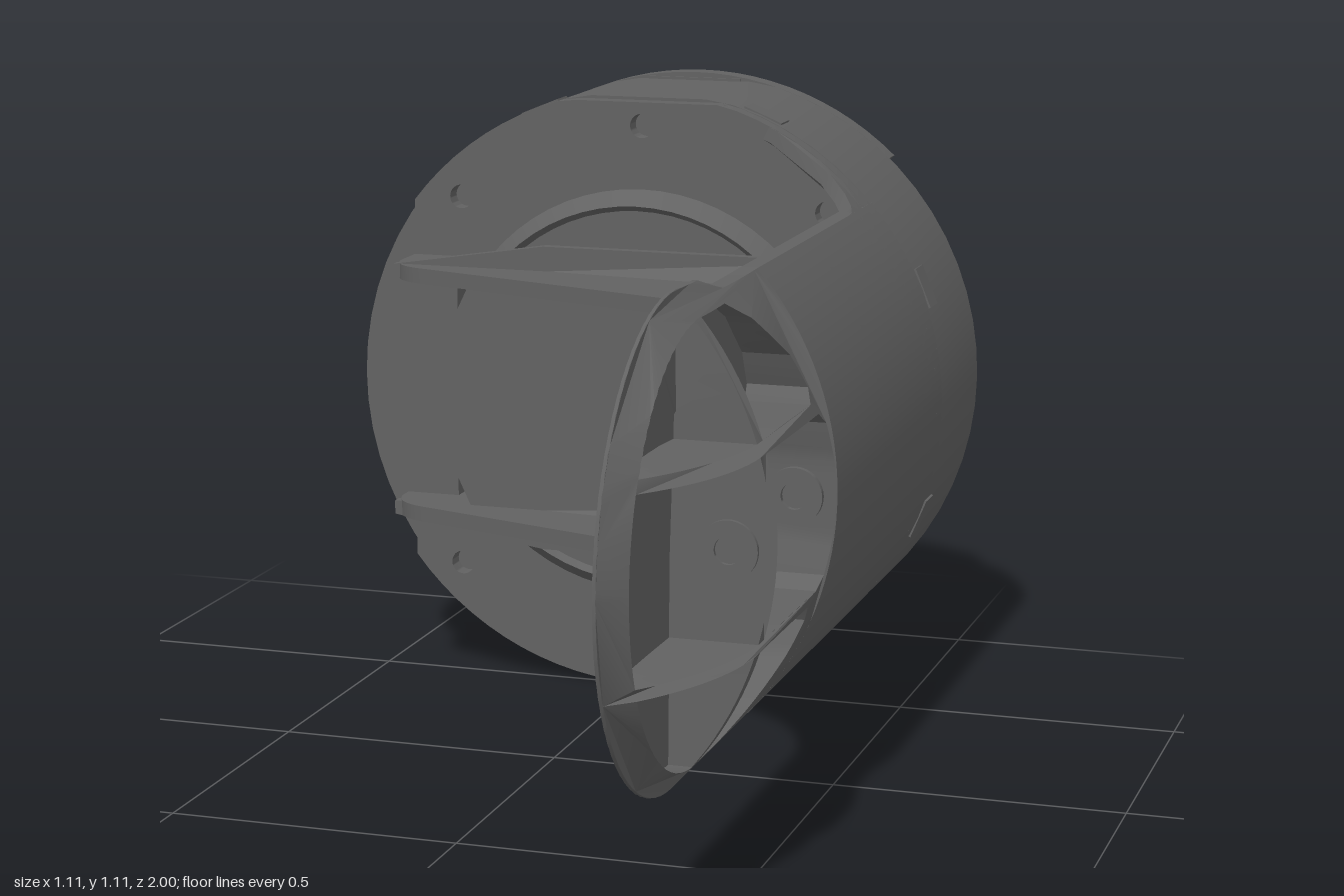
import * as THREE from 'three';
import { toCreasedNormals } from 'three/addons/utils/BufferGeometryUtils.js';

const R = 0.555, CY = 0.555; // drum radius and axis height
const mat = new THREE.MeshStandardMaterial({ color: 0x626262, side: THREE.DoubleSide });

// Split polygon edges, bowed a hair so that no corner is dropped as collinear
function dense(pts, step = 0.025) {
  const out = [];
  pts.forEach((p, i) => {
    const q = pts[(i + 1) % pts.length];
    const dx = q[0] - p[0], dy = q[1] - p[1], len = Math.hypot(dx, dy);
    const n = Math.max(1, Math.ceil(len / step));
    for (let k = 0; k < n; k++) {
      const t = k / n, bow = 0.0006 * Math.sin(Math.PI * t) / len;
      out.push(new THREE.Vector2(p[0] + dx * t + dy * bow, p[1] + dy * t - dx * bow));
    }
  });
  return out;
}
const poly = (pts) => new THREE.Shape(pts.map((p) => new THREE.Vector2(p[0], p[1])));
const arc = (cx, cy, r, a0, a1, n = 24) => Array.from({ length: n + 1 }, (_, i) => {
  const a = a0 + (a1 - a0) * i / n;
  return [cx + r * Math.cos(a), cy + r * Math.sin(a)];
});
const extrude = (shape, depth) =>
  new THREE.ExtrudeGeometry(shape, { depth, bevelEnabled: false, curveSegments: 32 });

function moveVertices(geo, rule) {
  const p = geo.attributes.position, v = new THREE.Vector3();
  for (let i = 0; i < p.count; i++) {
    v.fromBufferAttribute(p, i);
    rule(v);
    p.setXYZ(i, v.x, v.y, v.z);
  }
  geo.computeVertexNormals();
  return geo;
}

// Outer skin of the arm: a cylinder ending in a sphere
function skin(y, z) {
  const d = (y - CY) ** 2 + Math.max(0, z - 0.61) ** 2;
  return Math.max(0.393, Math.sqrt(Math.max(0, R * R - d)));
}

// Slab outlined in (z, y), from x0 out to the rule top(y, z)
function slab(pts, holes, x0, top) {
  const shape = new THREE.Shape(dense(pts.map(([z, y]) => [-z, y])));
  holes.forEach((h) => shape.holes.push(new THREE.Path(dense(h.map(([z, y]) => [-z, y])))));
  return moveVertices(extrude(shape, 1), (v) => {
    const z = -v.x;
    v.set(v.z < 0.5 ? x0 : top(v.y, z), v.y, z);
  });
}

export function createModel() {
  const group = new THREE.Group();
  const add = (name, geo, crease = 0.5) => {
    const mesh = new THREE.Mesh(toCreasedNormals(geo, crease), mat);
    mesh.name = name;
    group.add(mesh);
    return mesh;
  };
  // Turned part on the drum axis; profile points are [radius, -z]
  const turned = (pts) => new THREE.LatheGeometry(pts.map((p) => new THREE.Vector2(...p)), 64)
    .rotateX(-Math.PI / 2).translate(0, CY, 0);

  // Drum with flattened top and bottom
  add('drum', moveVertices(turned([[0, 0.54], [R, 0.54], [R, 0.85], [0.55, 0.857], [0, 0.857]]),
    (v) => { v.y = THREE.MathUtils.clamp(v.y, 0.03, 1.095); }));
  add('rearStep', turned([[0.36, 0.85], [0.355, 0.88], [0, 0.88]]));
  add('rearCap', turned([[0.325, 0.87], [0.325, 0.91], [0.335, 0.912], [0.335, 0.922],
    [0.325, 0.924], [0.325, 0.928], [0.335, 0.93], [0.33, 0.94], [0, 0.94]]));

  // Screw bosses on the back and clips around the drum rim
  for (let i = 0; i < 8; i++) {
    const a = Math.PI / 2 + i * Math.PI / 4;
    if (i) {
      const depth = i === 1 || i === 7 ? 0.9 : 0.867; // taller beside the crescent
      const boss = add('rearBoss', new THREE.BoxGeometry(0.15, 0.055, depth - 0.845));
      boss.position.set(0.462 * Math.cos(a), CY + 0.462 * Math.sin(a), -(depth + 0.845) / 2);
      boss.rotation.z = a;
      add('rearScrew', new THREE.CylinderGeometry(0.016, 0.016, 0.006, 16).rotateX(Math.PI / 2))
        .position.set(0.505 * Math.cos(a), CY + 0.505 * Math.sin(a), -depth);
    }
    const b = a + Math.PI / 8;
    const clip = add('rimClip', new THREE.BoxGeometry(0.012, 0.075, 0.055));
    clip.position.set(0.551 * Math.cos(b), CY + 0.551 * Math.sin(b), -0.58);
    clip.rotation.z = b;
  }

  // Top lug, kept inside the drum's circle, and the crescent shoulder around it
  const lug = extrude(poly([[0.84, 0.94], [0.9, 0.94], [1, 0.96], [1, 1.03], [0.89, 1.1], [0.84, 1.1]]), 0.18);
  add('topLug', moveVertices(lug, (v) => {
    const z = -v.x, x = (v.z - 0.09) * (z < -0.95 ? 0.72 : 1);
    v.set(x, v.y, z);
  }));
  const s0 = Math.PI / 2 - 0.75, s1 = Math.PI / 2 + 0.75;
  add('rearShoulder', extrude(poly([...arc(0, CY, R, s0, s1), ...arc(0, CY, 0.41, s1, s0)]), 0.045)
    .translate(0, 0, -0.89));

  // Front flange with screw holes, cut straight on one side, and its raised ring
  const cut = Math.acos(-0.44 / R);
  const plate = poly(arc(0, CY, R, -cut, cut, 72));
  for (const deg of [45, 90, 135, 225, 270, 315]) {
    const a = deg * Math.PI / 180;
    plate.holes.push(new THREE.Path().absarc(0.492 * Math.cos(a), CY + 0.492 * Math.sin(a), 0.022, 0, Math.PI * 2));
  }
  add('frontFlange', moveVertices(extrude(plate, 0.035).translate(0, 0, -0.535),
    (v) => { v.y = Math.min(v.y, 1.09); }));
  add('flangeRing', turned([[0, 0.475], [0.34, 0.475], [0.35, 0.462], [0.38, 0.505]]));
  add('flangePad', new THREE.BoxGeometry(0.1, 0.444, 0.06)).position.set(-0.39, CY, -0.485);

  // Main length of the arm: a circular segment
  const a0 = Math.asin((0.17 - CY) / R), a1 = Math.asin((0.92 - CY) / R);
  add('arm', extrude(poly([[0.39, 0.17], ...arc(0, CY, R, a0, a1, 32), [0.39, 0.92]]), 0.77)
    .translate(0, 0, -0.545));

  // Rounded arm tip with pockets; the ribs between them follow the skin
  const tip = [[0.225, 0.17], [0.43, 0.168], ...arc(0.61, CY, 0.39, -Math.PI / 2, Math.PI / 2, 40),
    [0.5, 0.942], [0.43, 0.92], [0.225, 0.92]];
  const pr = 0.348, mid = Math.asin(0.145 / pr), low = Math.asin(0.165 / pr), high = Math.acos(0.018 / pr);
  const upper = [
    [[0.628, 0.72], ...arc(0.61, CY, pr, low, high, 14)],
    [[0.597, 0.72], [0.597, 0.903], [0.47, 0.903], [0.4, 0.87], [0.32, 0.8], [0.295, 0.745], [0.31, 0.72]],
  ];
  const pockets = [
    ...upper,
    ...upper.map((h) => h.map(([z, y]) => [z, 2 * CY - y])),
    [[0.628, CY - 0.145], ...arc(0.61, CY, pr, -mid, mid, 12), [0.628, CY + 0.145]],
    [[0.597, CY - 0.145], [0.597, CY + 0.145], [0.28, CY + 0.145], [0.25, CY + 0.125], [0.235, CY + 0.06],
      [0.235, CY - 0.06], [0.25, CY - 0.125], [0.28, CY - 0.145]],
  ];
  add('armTip', slab(tip, pockets, 0.39, skin), 0.4);
  add('pocketFloor', slab(tip, [], 0.39, (y, z) => Math.min(0.435, skin(y, z) - 0.002)), 0.4);
  for (const z of [0.24, 0.595, 0.63]) {
    const ring = new THREE.Shape().absarc(0, 0, 0.047, 0, Math.PI * 2);
    ring.holes.push(new THREE.Path().absarc(0, 0, 0.022, 0, Math.PI * 2));
    add('screwSeat', extrude(ring, 0.012)).position.set(0.488, CY, z - 0.006);
  }

  // Curved wall that flares from the arm to the flange, top and bottom
  const N = 18, M = 28, pos = [], idx = [];
  for (let i = 0; i <= N; i++) {
    const z = -0.52 + 0.42 * i / N;
    const tb = THREE.MathUtils.clamp((-0.2 - z) / 0.3, 0, 1);
    const tt = THREE.MathUtils.clamp((-0.39 - z) / 0.11, 0, 1);
    const lo = Math.asin((0.17 - 0.168 * tb ** 1.6 - CY) / R);
    const hi = Math.asin((0.92 + 0.17 * (1 - Math.sqrt(1 - tt * tt)) - CY) / R);
    for (const r of [R, 0.53]) {
      for (let j = 0; j <= M; j++) {
        const t = r === R ? j / M : 1 - j / M;
        const a = lo + (hi - lo) * t;
        pos.push(r * Math.cos(a), CY + r * Math.sin(a), z);
      }
    }
  }
  const W = 2 * (M + 1);
  for (let i = 0; i < N; i++) {
    for (let j = 0; j < W; j++) {
      const a = i * W + j, b = i * W + (j + 1) % W;
      idx.push(a, b, b + W, a, b + W, a + W);
    }
  }
  const wall = new THREE.BufferGeometry();
  wall.setAttribute('position', new THREE.Float32BufferAttribute(pos, 3));
  wall.setIndex(idx);
  wall.computeVertexNormals();
  add('flaredWall', wall);

  // Pair of bridge ribs, outlined in (x, -z), each with a slot above the flange
  const rib = new THREE.Shape();
  rib.moveTo(-0.44, 0.52);
  rib.lineTo(-0.44, 0.43);
  rib.quadraticCurveTo(-0.435, 0.36, -0.36, 0.34);
  rib.lineTo(0.14, 0.175);
  rib.bezierCurveTo(0.28, 0.13, 0.38, 0.05, 0.392, -0.14);
  rib.lineTo(0.41, 0.52);
  const slot = new THREE.Path();
  slot.moveTo(-0.27, 0.462);
  slot.quadraticCurveTo(-0.34, 0.43, -0.27, 0.402);
  slot.lineTo(0.24, 0.402);
  slot.quadraticCurveTo(0.31, 0.43, 0.24, 0.462);
  rib.holes.push(slot);
  for (const y of [0.333, 0.777]) {
    add('bridgeRib', extrude(rib, 0.028).rotateX(-Math.PI / 2).translate(0, y - 0.014, 0));
    // Sloped fillets where the rib meets the arm and the deck
    const fillet = poly([[0, -0.057], [0, 0.057], [-0.055, 0.014], [-0.055, -0.014]]);
    add('armFillet', extrude(fillet, 0.3).translate(0.393, y, -0.4));
    const along = extrude(fillet, 0.55).rotateY(Math.PI / 2);
    add('deckFillet', moveVertices(along, (v) => {
      const wide = v.x < 0.1 ? 0.25 : 1;
      v.set(v.x - 0.16, y + v.y * wide, -0.386 + v.z * wide);
    }));
  }

  // Deck joining the ribs, with tapering flanges
  const half = [[-0.35, 0.66], [-0.335, 0.67], [-0.29, 0.765], [-0.44, 0.765], [-0.44, 0.79], [-0.15, 0.836], [0.4, 0.836]];
  const deck = [...half, ...half.map(([x, y]) => [x, 2 * CY - y]).reverse()];
  add('bridgeDeck', extrude(poly(deck), 0.02).translate(0, 0, -0.404));

  return group;
}
